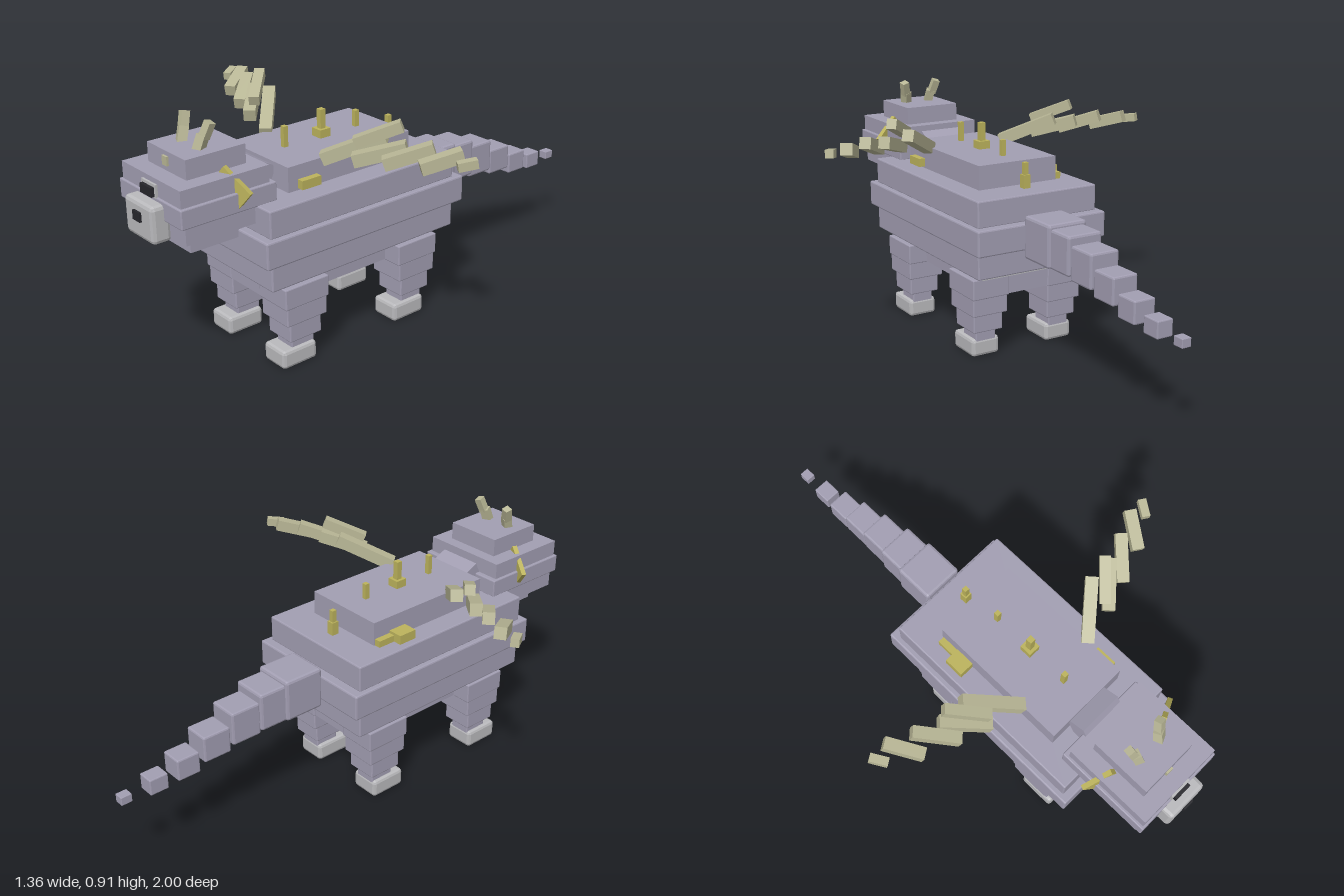
import * as THREE from 'three';
import { RoundedBoxGeometry } from 'three/addons/geometries/RoundedBoxGeometry.js';

const material = (name, color) => {
  const m = new THREE.MeshStandardMaterial({ color, flatShading: true });
  m.name = name;
  return m;
};

export function createModel() {
  const model = new THREE.Group();
  const hide = material('hide', 0xa29eb2);
  const pale = material('pale grey', 0xb9b9bc);
  const feather = material('feather', 0xb9b796);
  const gold = material('gold', 0xbcb35c);
  const dark = material('dark', 0x26262b);

  const group = (name, parent = model) => {
    const g = new THREE.Group();
    g.name = name;
    parent.add(g);
    return g;
  };

  // Box given by its extents on each axis, optionally chamfered
  const block = (parent, name, mat, [x0, x1], [y0, y1], [z0, z1], bevel = 0) => {
    const s = [x1 - x0, y1 - y0, z1 - z0];
    const geo = bevel ? new RoundedBoxGeometry(...s, 1, bevel) : new THREE.BoxGeometry(...s);
    const m = new THREE.Mesh(geo, mat);
    m.name = name;
    m.position.set((x0 + x1) / 2, (y0 + y1) / 2, (z0 + z1) / 2);
    parent.add(m);
    return m;
  };
  const wide = (parent, name, mat, hx, y, z, bevel) => block(parent, name, mat, [-hx, hx], y, z, bevel);

  // Square bar running between two points
  const bar = (parent, name, mat, a, b, t) => {
    const p = new THREE.Vector3(...a), q = new THREE.Vector3(...b);
    const m = new THREE.Mesh(new THREE.BoxGeometry(t, t, p.distanceTo(q)), mat);
    m.name = name;
    m.position.copy(p).lerp(q, 0.5);
    m.lookAt(q);
    parent.add(m);
    return m;
  };

  // Body: stacked slabs
  const body = group('body');
  wide(body, 'backSlab', hide, 0.165, [0.62, 0.715], [-0.02, 0.52]);
  wide(body, 'upperSlab', hide, 0.25, [0.525, 0.625], [-0.16, 0.66], 0.005);
  wide(body, 'middleSlab', hide, 0.27, [0.43, 0.528], [-0.195, 0.69], 0.006);
  wide(body, 'lowerSlab', hide, 0.25, [0.335, 0.433], [-0.16, 0.66], 0.005);
  wide(body, 'bellyBand', pale, 0.2, [0.31, 0.338], [-0.1, 0.605]);
  wide(body, 'belly', hide, 0.16, [0.24, 0.32], [-0.09, 0.595]);

  // Legs: tapering blocks on a chamfered foot [half x, half z, y0, y1]
  const legParts = [
    ['thigh', 0.076, 0.092, 0.237, 0.315],
    ['knee', 0.072, 0.085, 0.17, 0.24],
    ['shin', 0.061, 0.067, 0.1, 0.172],
    ['ankle', 0.042, 0.048, 0.05, 0.102],
  ];
  for (const [name, z] of [['frontLeg', 0.505], ['hindLeg', -0.005]]) {
    for (const x of [-0.16, 0.16]) {
      const leg = group(name);
      for (const [part, hx, hz, y0, y1] of legParts) {
        block(leg, part, hide, [x - hx, x + hx], [y0, y1], [z - hz, z + hz], 0.004);
      }
      block(leg, 'foot', pale, [x - 0.057, x + 0.057], [0, 0.068], [z - 0.05, z + 0.095], 0.012);
    }
  }

  // Tail: shrinking, drooping segments [half x, y0, y1, z0, z1]
  const tail = group('tail');
  [
    [0.08, 0.4, 0.56, -0.35, -0.19],
    [0.07, 0.4, 0.545, -0.455, -0.34],
    [0.058, 0.385, 0.512, -0.57, -0.45],
    [0.05, 0.362, 0.462, -0.685, -0.575],
    [0.042, 0.33, 0.412, -0.79, -0.7],
    [0.031, 0.315, 0.376, -0.895, -0.823],
    [0.018, 0.318, 0.35, -1, -0.958],
  ].forEach(([hx, y0, y1, z0, z1]) => wide(tail, 'tailSegment', hide, hx, [y0, y1], [z0, z1], hx * 0.13));

  // Head and neck
  const head = group('head');
  const neck = wide(head, 'neck', hide, 0.085, [0.6, 0.72], [0.53, 0.61]);
  neck.rotation.x = -0.45;
  wide(head, 'chin', hide, 0.112, [0.5, 0.57], [0.645, 0.875]);
  wide(head, 'jaw', hide, 0.17, [0.56, 0.63], [0.6, 0.925]);
  wide(head, 'cheeks', hide, 0.183, [0.622, 0.69], [0.58, 0.945], 0.004);
  wide(head, 'brow', hide, 0.172, [0.685, 0.75], [0.6, 0.937]);
  wide(head, 'crown', hide, 0.112, [0.745, 0.818], [0.647, 0.874]);
  wide(head, 'snout', pale, 0.083, [0.548, 0.678], [0.92, 0.99], 0.014);
  wide(head, 'nose', dark, 0.021, [0.612, 0.645], [0.98, 0.998]);
  wide(head, 'eyeRim', pale, 0.042, [0.685, 0.732], [0.935, 0.945]);
  wide(head, 'eye', dark, 0.033, [0.69, 0.722], [0.935, 0.957]);
  wide(head, 'foreheadStud', feather, 0.014, [0.77, 0.802], [0.865, 0.882]);

  // Ears, horns and wings, mirrored
  const wingBars = [
    [[0.16, 0.71, 0.37], [0.32, 0.8, 0.23], 0.045],
    [[0.28, 0.79, 0.33], [0.39, 0.852, 0.22], 0.038],
    [[0.29, 0.735, 0.345], [0.42, 0.785, 0.225], 0.045],
    [[0.4, 0.745, 0.31], [0.51, 0.8, 0.19], 0.043],
    [[0.525, 0.755, 0.265], [0.6, 0.795, 0.15], 0.043],
    [[0.63, 0.775, 0.205], [0.665, 0.785, 0.15], 0.03],
  ];
  for (const s of [-1, 1]) {
    const flip = ([x, y, z]) => [s * x, y, z];

    const ear = new THREE.Mesh(new THREE.BoxGeometry(0.126, 0.126, 0.018), gold);
    ear.name = 'ear';
    ear.position.set(s * 0.14, 0.683, 0.74);
    ear.rotation.set(0, s * 0.4, s * -0.68);
    head.add(ear);

    const horn = group('horn', head);
    const hornParts = [
      [[0.05, 0.81, 0.785], [0.057, 0.862, 0.768], 0.032],
      [[0.06, 0.852, 0.768], [0.073, 0.905, 0.75], 0.028],
    ];
    for (const [a, b, t] of hornParts) bar(horn, 'hornPart', feather, flip(a), flip(b), t).rotateZ(Math.PI / 4);

    const wing = group('wing');
    for (const [a, b, t] of wingBars) bar(wing, 'wingFeather', feather, flip(a), flip(b), t);
  }

  // Spines along the back [half width, y0, y1, z]
  const spines = group('spines');
  [
    [0.009, 0.71, 0.79, 0.407],
    [0.023, 0.71, 0.745, 0.245],
    [0.011, 0.74, 0.815, 0.245],
    [0.009, 0.71, 0.775, 0.088],
    [0.014, 0.62, 0.675, -0.07],
    [0.009, 0.67, 0.72, -0.07],
  ].forEach(([h, y0, y1, z]) => wide(spines, 'spine', gold, h, [y0, y1], [z - h, z + h]));

  // Small scattered lumps on the flanks
  block(body, 'flankLump', gold, [-0.222, -0.165], [0.622, 0.66], [0.055, 0.13]);
  block(body, 'flankLump', gold, [-0.19, -0.16], [0.622, 0.65], [-0.015, 0.06]);
  block(body, 'flankLump', gold, [0.16, 0.19], [0.632, 0.664], [0.4, 0.48]);

  return model;
}
